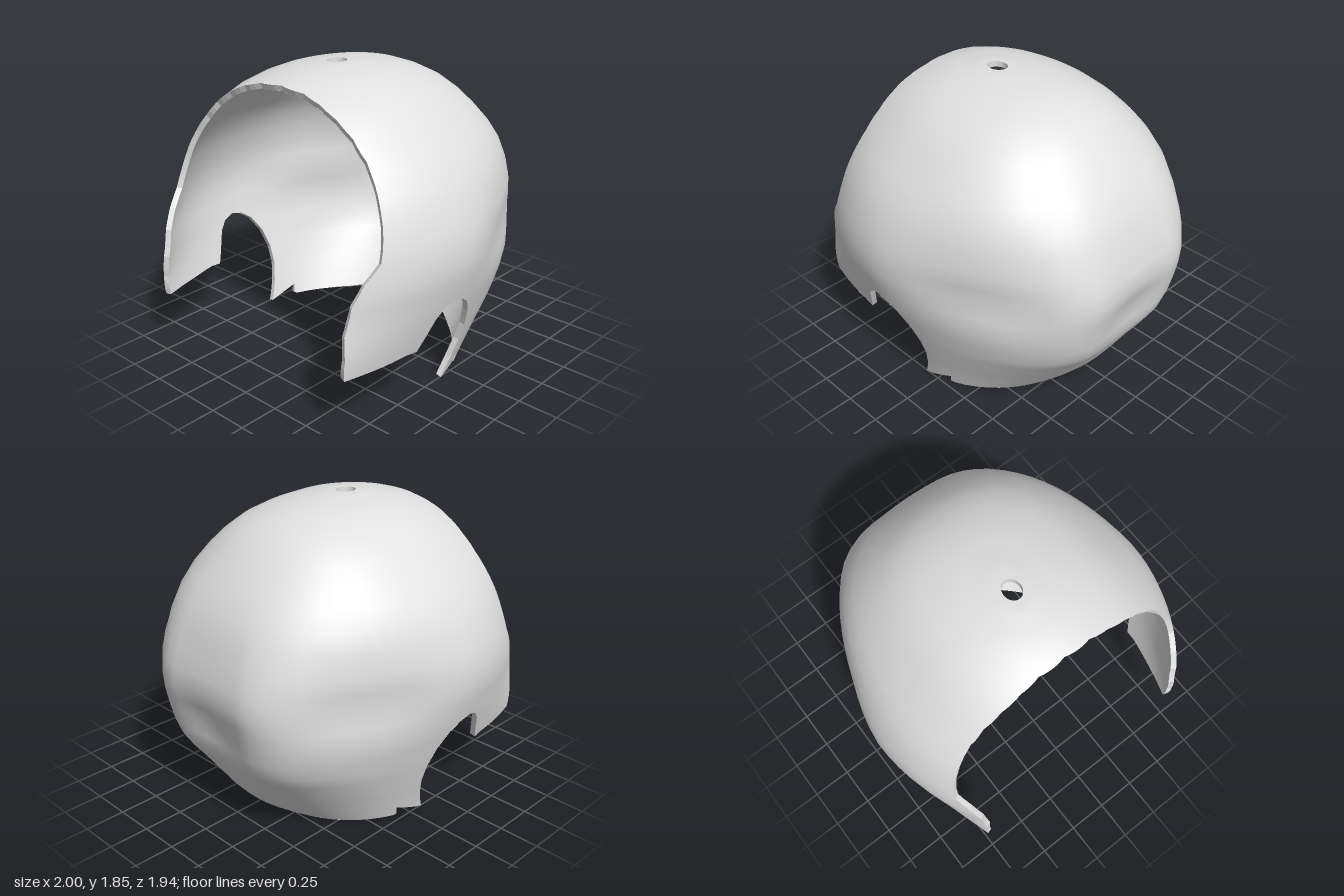
import * as THREE from 'three';

const ZC = 0.19, THICK = 0.035;

// Horizontal sections from crown to neck:
// y, half width, back reach, front reach, taper of the back, squareness of the back, rear groove
const ROWS = [
  [1.856, 0.055, 0.065, 0.065, 0, 0, 0], [1.85, 0.13, 0.19, 0.16, 0, 0, 0],
  [1.81, 0.32, 0.45, 0.38, 0, 0.03, 0], [1.71, 0.53, 0.68, 0.64, 0, 0.05, 0],
  [1.54, 0.715, 0.87, 0.87, 0, 0.055, 0], [1.33, 0.885, 1.03, 0.96, 0.3, 0.04, 0],
  [1.09, 0.98, 1.12, 1.04, 0.7, 0.02, 0], [0.88, 1, 1.155, 1.13, 1, 0, 0],
  [0.66, 0.955, 1.145, 1.26, 0.6, 0.03, 0.05], [0.46, 0.895, 1.1, 1.5, 0.4, 0.03, 0.04],
  [0.3, 0.845, 0.99, 1.64, 0.2, 0.02, 0.015], [0.12, 0.79, 0.86, 1.66, 0, 0, 0],
  [0, 0.76, 0.75, 1.66, 0, 0, 0]];
const VMAX = ROWS.length - 1;

// Radial change of the back plan every 10 degrees, from the rear centre to the side
const TAPER = [0, 0.015, 0.055, 0.048, 0.002, -0.033, -0.05, -0.045, -0.02, 0];

// Smooth curve through four values
const spline = (p, q, r, s, t) =>
  q + 0.5 * t * (r - p + t * (2 * p - 5 * q + 4 * r - s + t * (3 * (q - r) + s - p)));

// Smoothly interpolated section at v
function section(v) {
  v = THREE.MathUtils.clamp(v, 0, VMAX);
  const i = Math.min(Math.floor(v), VMAX - 1);
  const row = k => ROWS[THREE.MathUtils.clamp(k, 0, VMAX)];
  return ROWS[0].map((_, c) => spline(row(i - 1)[c], row(i)[c], row(i + 1)[c], row(i + 2)[c], v - i));
}

function taperAt(a) {
  const u = Math.min(Math.abs(Math.PI - a) / (Math.PI / 18), 9), i = Math.min(Math.floor(u), 8);
  const at = k => TAPER[Math.min(Math.abs(k), 9)];
  return spline(at(i - 1), at(i), at(i + 1), at(i + 2), u - i);
}

// Outer surface: a runs from the front (0) round the side to the back (PI)
function surface(a, v) {
  const [y, A, B, F, taper, square, groove] = section(v);
  const s = Math.sin(a), c = Math.cos(a);
  if (c >= 0) return new THREE.Vector3(A * s, y, ZC + F * c);
  const r = 1 + taper * taperAt(a) + square * Math.sin(2 * a) ** 2 - groove * c ** 24;
  return new THREE.Vector3(A * r * s, y, ZC + B * r * c);
}

function normalAt(a, v) {
  const da = surface(a + 0.04, v).sub(surface(a - 0.04, v));
  const dv = surface(a, v + 0.08).sub(surface(a, v - 0.08));
  const n = da.cross(dv).normalize();
  const out = surface(a, v).sub(new THREE.Vector3(0, 0.9, 0.1));
  return n.dot(out) < 0 ? n.negate() : n;
}

// Solve a falling function for a value
function solve(fn, value, hi) {
  let lo = 0;
  for (let i = 0; i < 40; i++) {
    const m = (lo + hi) / 2;
    if (fn(m) > value) lo = m; else hi = m;
  }
  return (lo + hi) / 2;
}
const heightToV = y => solve(v => section(v)[0], y, VMAX);

// Place a cut point given by its depth z and height y
function fromSide([z, y]) {
  const v = heightToV(y);
  return [solve(a => surface(a, v).z, z, Math.PI), v];
}

// Edge of one half of the shell in (a, v)
function outline() {
  const pts = [];
  // round face opening
  for (const y of [1.79, 1.775, 1.74, 1.68, 1.6, 1.5, 1.4, 1.3, 1.2, 1.1, 1.02]) {
    const v = heightToV(y), x = Math.sqrt(Math.max(0, 0.825 ** 2 - (y - 0.965) ** 2));
    pts.push([x < 0.01 ? 0 : Math.asin(Math.min(1, (x + 0.015) / section(v)[1])), v]);
  }
  // cheek, ear notch, tab and neck edge
  const side = [[0.855, 0.917], [0.92, 0.8], [0.96, 0.64], [0.965, 0.5], [0.963, 0.38], [0.715, 0.385],
    [0.55, 0.395], [0.475, 0.385], [0.39, 0.58], [0.34, 0.635], [0.27, 0.66], [0.186, 0.64],
    [0.114, 0.59], [0.05, 0.49], [0.016, 0.365], [0.016, 0.25], [0.047, 0.13], [0.1, 0.005],
    [-0.1, 0.07], [-0.083, 0.015], [-0.1, 0.003], [-0.3, 0.004], [-0.42, 0.012], [-0.5, 0.03], [-0.55, 0.045]];
  pts.push(...side.map(fromSide), [Math.PI, heightToV(0.05)]);
  return pts;
}

// Keep the part of a polygon where axis value * sign <= limit * sign
function clip(poly, axis, limit, sign) {
  const res = [];
  poly.forEach((p, i) => {
    const q = poly[(i + 1) % poly.length];
    const dp = (p[axis] - limit) * sign, dq = (q[axis] - limit) * sign;
    if (dp <= 0) res.push(p);
    if (dp * dq < 0) {
      const t = dp / (dp - dq);
      res.push([p[0] + (q[0] - p[0]) * t, p[1] + (q[1] - p[1]) * t]);
    }
  });
  return res;
}

// Cut the half shell into small grid cells and triangulate each one
function shellTriangles(poly) {
  const tris = [], cols = 36, rows = VMAX * 2;
  for (let i = 0; i < cols; i++) {
    const strip = clip(clip(poly, 0, (i * Math.PI) / cols, -1), 0, ((i + 1) * Math.PI) / cols, 1);
    for (let j = 0; j < rows; j++) {
      let cell = clip(clip(strip, 1, j / 2, -1), 1, (j + 1) / 2, 1);
      cell = cell.filter((p, n) => {
        const q = cell[(n + 1) % cell.length];
        return Math.hypot(p[0] - q[0], p[1] - q[1]) > 1e-7;
      });
      if (cell.length < 3) continue;
      const pts = cell.map(p => new THREE.Vector2(...p));
      for (const f of THREE.ShapeUtils.triangulateShape(pts, [])) tris.push(f.map(n => cell[n]));
    }
  }
  return tris;
}

// Mirrored skin, either the outside or the lining
function skin(tris, inner) {
  const pos = [], nor = [];
  for (const side of [1, -1]) for (const tri of tris) {
    const c = tri.map(([a, v]) => {
      const n = normalAt(a, v), p = surface(a, v);
      if (inner) { p.addScaledVector(n, -THICK); n.negate(); }
      p.x *= side; n.x *= side;
      return { p, n };
    });
    const face = c[1].p.clone().sub(c[0].p).cross(c[2].p.clone().sub(c[0].p));
    const mean = c[0].n.clone().add(c[1].n).add(c[2].n);
    if (face.dot(mean) < 0) c.reverse();
    for (const { p, n } of c) { pos.push(...p); nor.push(...n); }
  }
  const g = new THREE.BufferGeometry();
  g.setAttribute('position', new THREE.Float32BufferAttribute(pos, 3));
  g.setAttribute('normal', new THREE.Float32BufferAttribute(nor, 3));
  return g;
}

// Flat band joining the outside to the lining along a cut
function rim(path, steps) {
  const pos = [];
  for (const side of [1, -1]) for (let i = 0; i < path.length - 1; i++) for (let s = 0; s < steps; s++) {
    const [o0, o1] = [s / steps, (s + 1) / steps].map(t => {
      const a = THREE.MathUtils.lerp(path[i][0], path[i + 1][0], t);
      const v = THREE.MathUtils.lerp(path[i][1], path[i + 1][1], t);
      const o = surface(a, v), n = o.clone().addScaledVector(normalAt(a, v), -THICK);
      o.x *= side; n.x *= side;
      return [o, n];
    });
    const quad = [o0[0], o1[0], o1[1], o0[0], o1[1], o0[1]];
    if (side < 0) quad.reverse();
    for (const p of quad) pos.push(...p);
  }
  const g = new THREE.BufferGeometry();
  g.setAttribute('position', new THREE.Float32BufferAttribute(pos, 3));
  g.computeVertexNormals();
  return g;
}

export function createModel() {
  const group = new THREE.Group();
  group.name = 'helmet';
  const grey = new THREE.MeshStandardMaterial({ color: 0xe0e0e0, side: THREE.DoubleSide });
  grey.name = 'light grey';
  const add = (name, geometry) => {
    const mesh = new THREE.Mesh(geometry, grey);
    mesh.name = name;
    group.add(mesh);
  };
  const edge = outline();
  const tris = shellTriangles([[0, 0], ...edge, [Math.PI, 0]]);
  add('outerShell', skin(tris, false));
  add('innerLining', skin(tris, true));
  add('edgeRim', rim(edge, 3));
  add('crownHoleRim', rim([[0, 0], [Math.PI, 0]], 16));
  return group;
}
